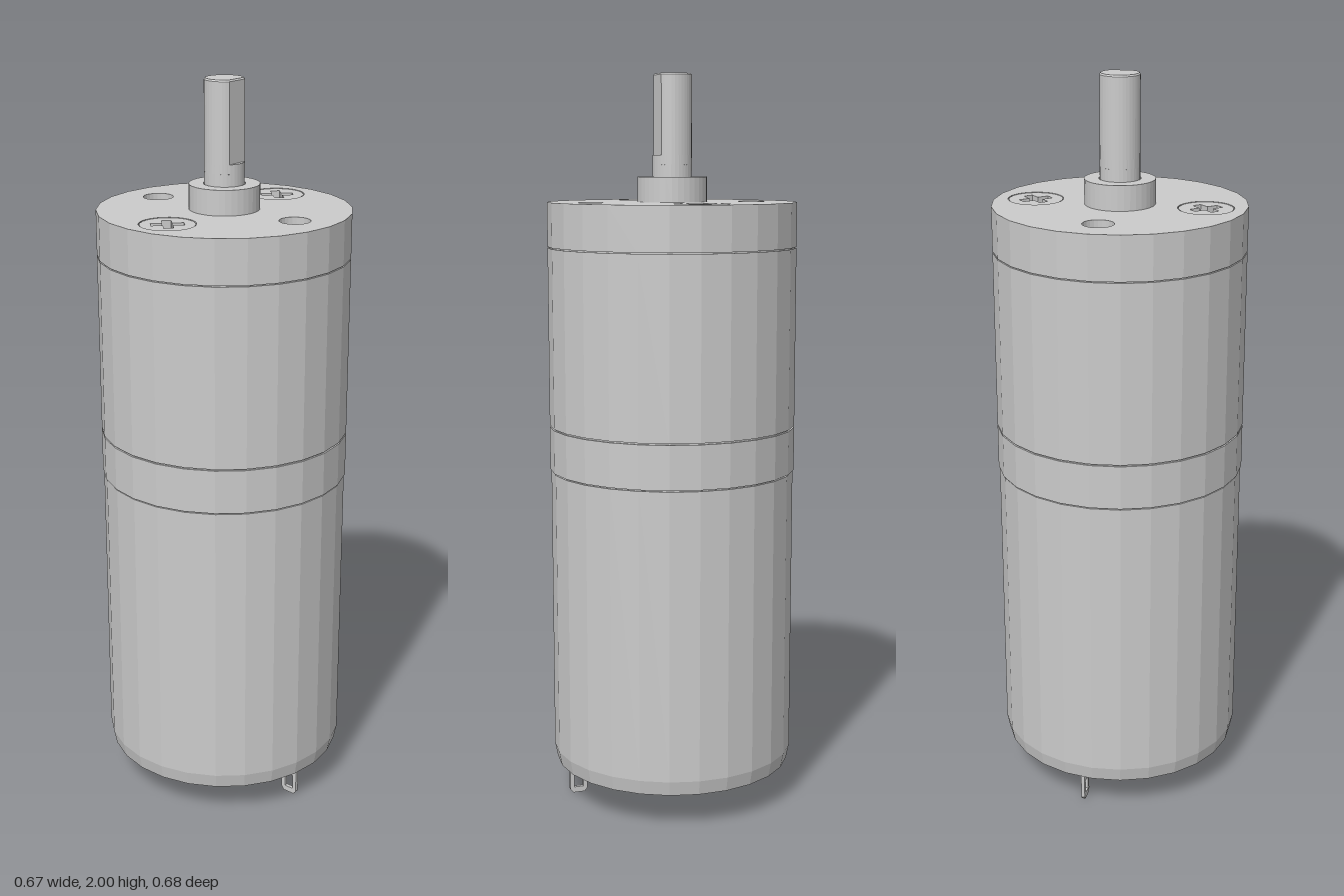
import * as THREE from 'three';

const SIDES = 26;
const metal = new THREE.MeshStandardMaterial({ color: 0xcbcbcb });
metal.name = 'light grey metal';
const plastic = new THREE.MeshStandardMaterial({ color: 0x9a9a9a });
plastic.name = 'mid grey plastic';

// Faceted normals for crisp low-poly faces
function faceted(geometry) {
  const g = geometry.index ? geometry.toNonIndexed() : geometry;
  g.computeVertexNormals();
  return g;
}

function part(parent, name, geometry, material = metal) {
  const mesh = new THREE.Mesh(faceted(geometry), material);
  mesh.name = name;
  parent.add(mesh);
  return mesh;
}

// Turned solid from [radius, y] pairs, listed from the bottom up
function turned(profile, sides = SIDES) {
  return new THREE.LatheGeometry(profile.map(([r, y]) => new THREE.Vector2(r, y)), sides);
}

// Points of a circle in plan; plan y is -z
function ring(r, sides, cx = 0, cy = 0) {
  return Array.from({ length: sides }, (_, i) => {
    const a = (i / sides) * Math.PI * 2 + Math.PI / 2;
    return new THREE.Vector2(cx + r * Math.cos(a), cy + r * Math.sin(a));
  });
}

// Upright slab from a plan outline with holes
function slab(outline, holes, y0, y1) {
  const shape = new THREE.Shape(outline);
  holes.forEach((h) => shape.holes.push(new THREE.Path(h)));
  const g = new THREE.ExtrudeGeometry(shape, { depth: y1 - y0, bevelEnabled: false });
  return g.rotateX(-Math.PI / 2).translate(0, y0, 0);
}

// Diagonal cross outline for the screw recess
function cross(arm, half) {
  const pts = [];
  for (let i = 0; i < 4; i++) {
    const a = Math.PI / 4 + (i * Math.PI) / 2;
    const at = (u, v) => new THREE.Vector2(
      u * Math.cos(a) - v * Math.sin(a), u * Math.sin(a) + v * Math.cos(a));
    pts.push(at(arm, -half), at(arm, half), at(half, half));
  }
  return pts;
}

export function createModel() {
  const model = new THREE.Group();
  model.name = 'gearMotor';

  // Motor can with a tapered, open lower rim
  part(model, 'motorCan', turned([
    [0, 0.132], [0.305, 0.132], [0.305, 0.098], [0.327, 0.098], [0.335, 0.138],
    [0.335, 0.928], [0.33, 0.928], [0.33, 0.932],
  ]));

  // Gearbox: adapter ring and gear housing, with fine seams between
  part(model, 'adapterRing', turned([
    [0.33, 0.932], [0.338, 0.932], [0.338, 1.051], [0.333, 1.051], [0.333, 1.055],
  ]));
  part(model, 'gearHousing', turned([
    [0.333, 1.055], [0.338, 1.055], [0.338, 1.539], [0.334, 1.539], [0.334, 1.542], [0, 1.542],
  ]));

  // Front plate with two screw seats and two mounting holes
  part(model, 'frontPlate', slab(ring(0.338, SIDES), [
    ring(0.0742, 32, 0.23, 0), ring(0.0742, 32, -0.23, 0),
    ring(0.041, 24, 0, 0.23), ring(0.041, 24, 0, -0.23),
  ], 1.542, 1.661));

  // Countersunk cross-head screws
  for (const side of [-1, 1]) {
    const screw = new THREE.Group();
    screw.name = side > 0 ? 'leftScrew' : 'rightScrew';
    screw.position.x = side * 0.23;
    part(screw, 'screwHead', slab(ring(0.072, 32), [cross(0.043, 0.0125)], 1.606, 1.66));
    part(screw, 'screwRecessFloor', turned([
      [0.072, 1.546], [0.072, 1.608], [0.045, 1.631], [0.015, 1.611], [0, 1.596],
    ], 32));
    model.add(screw);
  }

  // Shaft collar with a slim clearance bore
  part(model, 'shaftCollar', turned([
    [0.094, 1.656], [0.094, 1.728], [0.0555, 1.728], [0.0555, 1.69], [0, 1.69],
  ], 36));

  // Round lower shaft, then the D-section with its flat facing front
  part(model, 'shaftBase', turned([
    [0.053, 1.68], [0.053, 1.785], [0, 1.785],
  ], 32));
  const cut = Math.acos(0.042 / 0.053);
  const dOutline = Array.from({ length: 29 }, (_, i) => {
    const a = -Math.PI / 2 + cut + (i / 28) * (Math.PI * 2 - 2 * cut);
    return new THREE.Vector2(0.053 * Math.cos(a), 0.053 * Math.sin(a));
  });
  const dShaft = new THREE.ExtrudeGeometry(new THREE.Shape(dOutline), {
    depth: 0.236, bevelThickness: 0.004, bevelSize: 0.003, bevelOffset: -0.003, bevelSegments: 1,
  });
  part(model, 'flattedShaft', dShaft.rotateX(-Math.PI / 2).translate(0, 1.76, 0));

  // Rear cap, recessed in the can, with round pockets beside the terminals
  const pockets = [66, 114, 246, 294].map((deg) => {
    const a = (deg * Math.PI) / 180;
    return ring(0.024, 16, 0.275 * Math.cos(a), 0.275 * Math.sin(a));
  });
  part(model, 'rearCap', slab(ring(0.304, SIDES), pockets, 0.105, 0.122), plastic);
  part(model, 'rearCapBacking', slab(ring(0.304, SIDES), [], 0.122, 0.131), plastic);

  // Rear bearing boss with a small centre bore
  part(model, 'rearBearing', turned([
    [0, 0.072], [0.026, 0.072], [0.026, 0.055], [0.07, 0.055], [0.079, 0.063], [0.079, 0.108],
  ], 32));

  // Terminals: two bent tabs, half a turn apart
  for (const turn of [0, Math.PI]) {
    const terminal = new THREE.Group();
    terminal.name = turn ? 'rearTerminal' : 'frontTerminal';
    const blade = new THREE.Shape([
      [-0.025, 0.11], [-0.025, 0.01], [-0.017, 0], [0.017, 0], [0.025, 0.01], [0.025, 0.11],
    ].map(([u, v]) => new THREE.Vector2(u, v)));
    blade.holes.push(new THREE.Path([
      [-0.013, 0.016], [0.013, 0.016], [0.013, 0.058], [-0.013, 0.058],
    ].map(([u, v]) => new THREE.Vector2(u, v))));
    const g = new THREE.ExtrudeGeometry(blade, { depth: 0.01, bevelEnabled: false });
    part(terminal, 'terminalBlade', g.rotateY(Math.PI / 2).translate(-0.041, 0, 0.27));
    part(terminal, 'terminalArm',
      new THREE.BoxGeometry(0.15, 0.008, 0.022).translate(0.037, 0.104, 0.268));
    part(terminal, 'capPin',
      new THREE.CylinderGeometry(0.01, 0.01, 0.008, 12).translate(0.14, 0.104, 0.06));
    terminal.rotation.y = turn;
    model.add(terminal);
  }

  return model;
}
